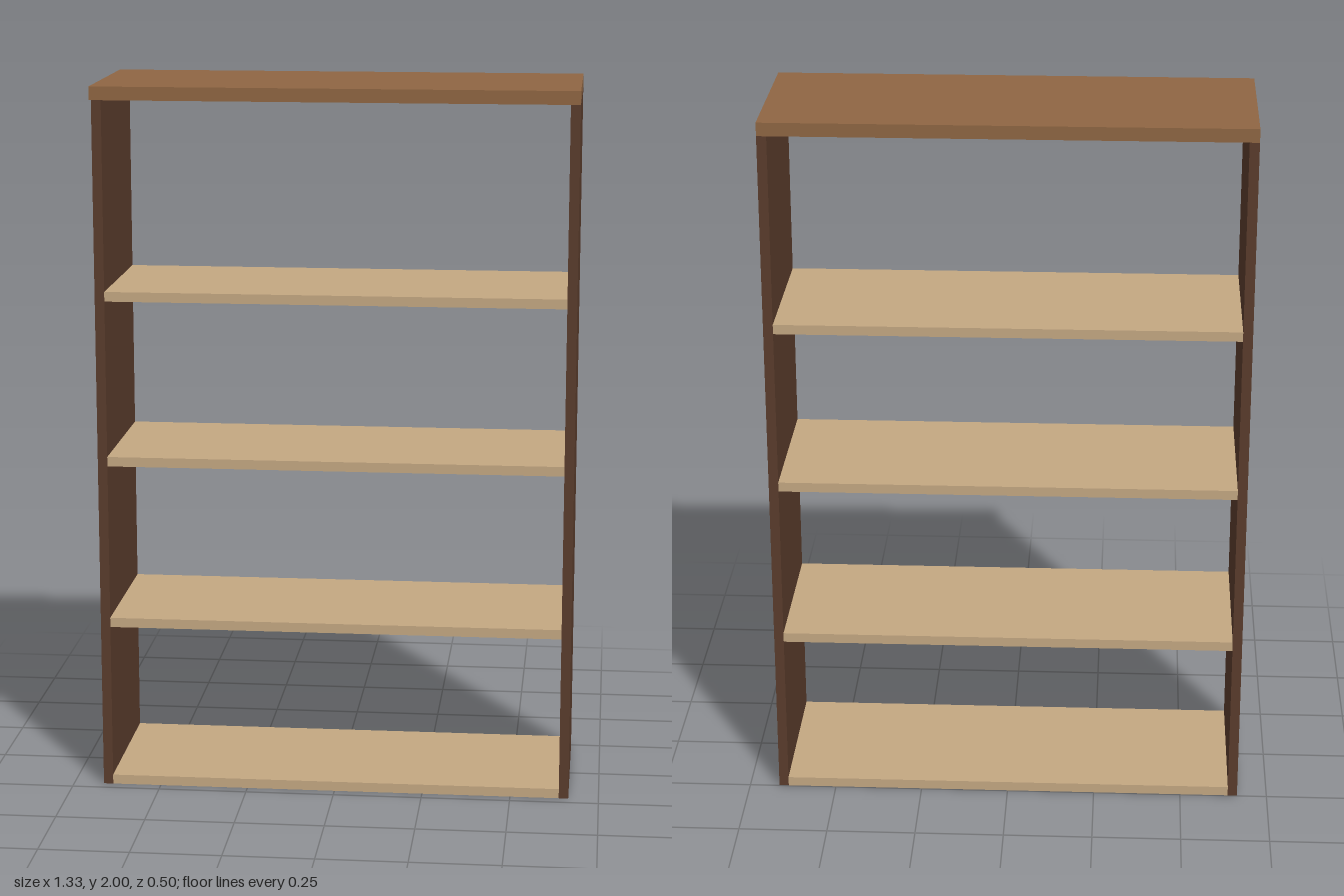
import * as THREE from 'three';

const WIDTH = 1.33, HEIGHT = 2, BACK = -0.248;
const TOP_DEPTH = 0.496, BODY_DEPTH = 0.465;
const TOP_THICK = 0.037, BOARD = 0.027;

export function createModel() {
  const group = new THREE.Group();
  group.name = 'bookcase';
  const topWood = new THREE.MeshStandardMaterial({ color: 0x8f6643 });
  const sideWood = new THREE.MeshStandardMaterial({ color: 0x5a3c2c });
  const shelfWood = new THREE.MeshStandardMaterial({ color: 0xc4a882 });

  // Board resting at height y, with its rear edge on the common back plane
  const addBoard = (name, material, w, h, d, x, y) => {
    const mesh = new THREE.Mesh(new THREE.BoxGeometry(w, h, d), material);
    mesh.name = name;
    mesh.position.set(x, y + h / 2, BACK + d / 2);
    group.add(mesh);
  };

  // Top board, overhanging at the front
  const sideHeight = HEIGHT - TOP_THICK;
  addBoard('topBoard', topWood, WIDTH, TOP_THICK, TOP_DEPTH, 0, sideHeight);

  // Side panels
  for (const [name, s] of [['leftPanel', 1], ['rightPanel', -1]]) {
    addBoard(name, sideWood, BOARD, sideHeight, BODY_DEPTH, s * (WIDTH - BOARD) / 2, 0);
  }

  // Four evenly spaced shelves between the panels, the lowest on the ground
  for (let i = 0; i < 4; i++) {
    addBoard(`shelf${i + 1}`, shelfWood, WIDTH - 2 * BOARD, BOARD, BODY_DEPTH, 0, i * 0.468);
  }
  return group;
}
